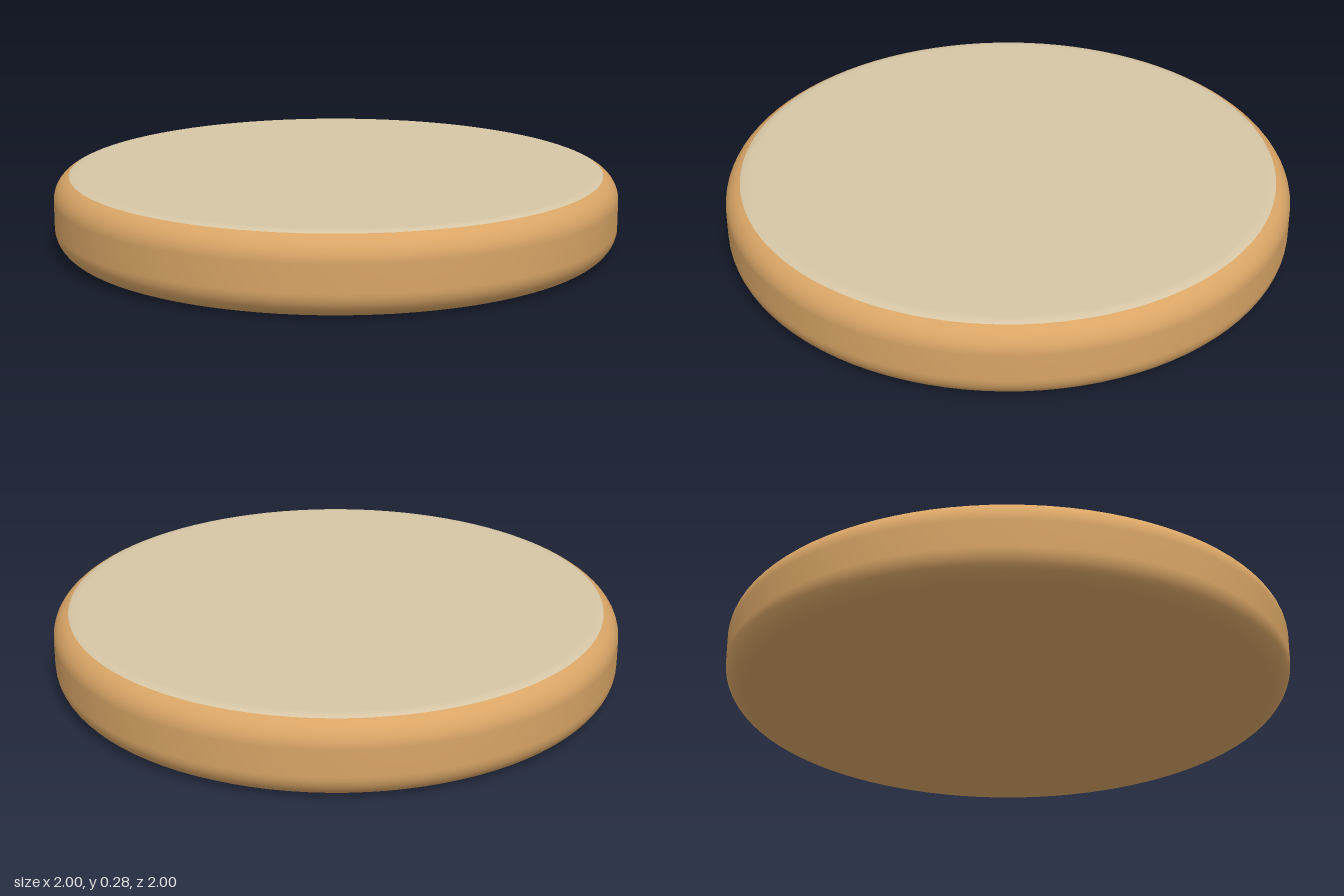
import * as THREE from 'three';

const HEIGHT = 0.275, RADIUS = 1, ROUND = 0.09, SEGMENTS = 96;
const SPLIT = Math.PI / 2 - 0.4; // angle on the upper rounding where the colour changes

// Points along a rounded corner, centred at height cy
function corner(cy, from, to, steps) {
  return Array.from({ length: steps + 1 }, (_, i) => {
    const a = from + (to - from) * i / steps;
    return new THREE.Vector2(RADIUS - ROUND + ROUND * Math.cos(a), cy + ROUND * Math.sin(a));
  });
}

function lathe(name, points, material) {
  const mesh = new THREE.Mesh(new THREE.LatheGeometry(points, SEGMENTS), material);
  mesh.name = name;
  return mesh;
}

export function createModel() {
  const tan = new THREE.MeshStandardMaterial({ color: 0xd9a566 });
  tan.name = 'tan';
  const cream = new THREE.MeshStandardMaterial({ color: 0xd6c6a6 });
  cream.name = 'cream';

  const group = new THREE.Group();
  group.name = 'disc';
  const low = ROUND, high = HEIGHT - ROUND, flat = RADIUS - ROUND;

  // Underside and rounded side wall
  group.add(lathe('body', [
    new THREE.Vector2(0, 0),
    new THREE.Vector2(flat - 0.01, 0),
    ...corner(low, -Math.PI / 2, 0, 10),
    ...corner(high, 0, SPLIT, 8),
  ], tan));

  // Flat top with the last bit of the rounding
  group.add(lathe('topFace', [
    ...corner(high, SPLIT, Math.PI / 2, 4),
    new THREE.Vector2(flat - 0.01, HEIGHT),
    new THREE.Vector2(0, HEIGHT),
  ], cream));

  return group;
}
